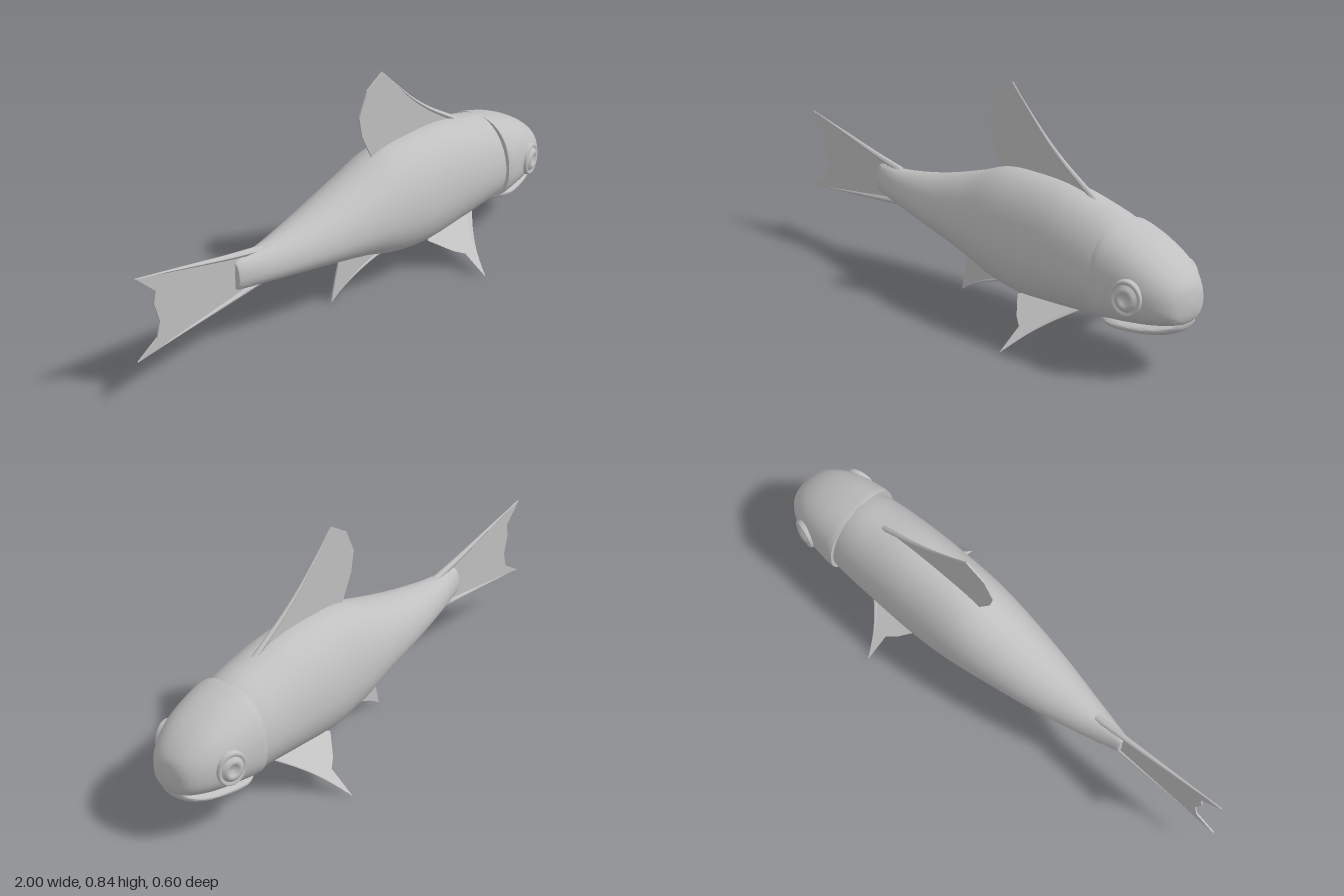
import * as THREE from 'three';
import { toCreasedNormals } from 'three/addons/utils/BufferGeometryUtils.js';

const skin = new THREE.MeshStandardMaterial({ color: 0xc0c0c0, side: THREE.DoubleSide });
skin.name = 'grey skin';

function addMesh(parent, name, geometry) {
  const mesh = new THREE.Mesh(geometry, skin);
  mesh.name = name;
  parent.add(mesh);
  return mesh;
}

// Lofts rounded cross-sections along x. Rows: [x, top, bottom, half width].
// power 2 is an ellipse, more is boxier; mid is the height of the widest line.
function loft(rows, { power = 2, mid = 0.43, steps = 40, sides = 40 } = {}) {
  const heights = new THREE.CatmullRomCurve3(rows.map(r => new THREE.Vector3(r[0], r[1], r[2])), false, 'catmullrom');
  const widths = new THREE.CatmullRomCurve3(rows.map(r => new THREE.Vector3(r[3], 0, 0)), false, 'catmullrom');
  const pos = [], index = [];
  const curve = v => Math.sign(v) * Math.pow(Math.abs(v), 2 / power);
  for (let i = 0; i <= steps; i++) {
    const { x, y: top, z: bottom } = heights.getPoint(i / steps);
    const w = widths.getPoint(i / steps).x;
    const centre = bottom + (top - bottom) * mid;
    for (let j = 0; j < sides; j++) {
      const a = (j / sides) * Math.PI * 2, s = curve(Math.sin(a));
      pos.push(x, centre + s * (s > 0 ? top - centre : centre - bottom), w * curve(Math.cos(a)));
    }
  }
  for (let i = 0; i < steps; i++) for (let j = 0; j < sides; j++) {
    const k = (j + 1) % sides, a = i * sides, b = a + sides;
    index.push(a + j, b + j, a + k, a + k, b + j, b + k);
  }
  // End caps
  [rows[0], rows[rows.length - 1]].forEach((r, end) => {
    const c = pos.length / 3, base = end ? steps * sides : 0;
    pos.push(r[0], r[2] + (r[1] - r[2]) * mid, 0);
    for (let j = 0; j < sides; j++) {
      const k = (j + 1) % sides;
      index.push(c, base + (end ? k : j), base + (end ? j : k));
    }
  });
  const g = new THREE.BufferGeometry();
  g.setAttribute('position', new THREE.Float32BufferAttribute(pos, 3));
  g.setIndex(index);
  g.computeVertexNormals();
  return toCreasedNormals(g, 0.8);
}

// Tube along x, y points that tapers from its root to a fine tip.
function spine(points, radius) {
  const path = new THREE.CatmullRomCurve3(points.map(p => new THREE.Vector3(p[0], p[1], 0)));
  const rings = 20, sides = 8;
  const g = new THREE.TubeGeometry(path, rings, radius, sides);
  const p = g.attributes.position, v = new THREE.Vector3();
  for (let i = 0; i < p.count; i++) {
    const t = Math.floor(i / (sides + 1)) / rings, c = path.getPointAt(t);
    v.fromBufferAttribute(p, i).sub(c).multiplyScalar(1 - 0.9 * t).add(c);
    p.setXYZ(i, v.x, v.y, v.z);
  }
  g.computeVertexNormals();
  return g;
}

// Thin web stretched between a leading edge (root to tip) and its other points.
function web(lead, rest, thick = 0.006) {
  const edge = new THREE.CatmullRomCurve3(lead.map(p => new THREE.Vector3(p[0], p[1], 0))).getPoints(14);
  const outline = [...edge.map(p => new THREE.Vector2(p.x, p.y)), ...rest.map(p => new THREE.Vector2(...p))];
  const g = new THREE.ExtrudeGeometry(new THREE.Shape(outline), { depth: thick, bevelEnabled: false });
  return g.translate(0, 0, -thick / 2);
}

function addFin(parent, name, lead, rest, radius, bend = g => g) {
  const fin = new THREE.Group();
  fin.name = name;
  addMesh(fin, name + 'Web', bend(web(lead, rest)));
  addMesh(fin, name + 'Spine', bend(spine(lead, radius)));
  parent.add(fin);
}

export function createModel() {
  const fish = new THREE.Group();
  fish.name = 'fish';

  addMesh(fish, 'body', loft([
    [-0.565, 0.375, 0.27, 0.026], [-0.54, 0.382, 0.262, 0.034], [-0.4, 0.388, 0.242, 0.07],
    [-0.2, 0.425, 0.212, 0.115], [0, 0.483, 0.17, 0.148], [0.15, 0.534, 0.122, 0.165],
    [0.3, 0.545, 0.1, 0.171], [0.45, 0.54, 0.11, 0.17], [0.6, 0.511, 0.125, 0.165],
    [0.7, 0.484, 0.133, 0.155], [0.78, 0.44, 0.15, 0.13],
  ], { steps: 50 }));

  // Head with the gill cover standing proud of the body
  addMesh(fish, 'head', loft([
    [0.7, 0.482, 0.142, 0.168], [0.725, 0.477, 0.146, 0.17], [0.8, 0.453, 0.16, 0.161],
    [0.87, 0.422, 0.172, 0.146], [0.92, 0.392, 0.182, 0.126], [0.96, 0.358, 0.192, 0.1],
    [0.985, 0.325, 0.203, 0.07], [0.995, 0.29, 0.225, 0.035], [0.998, 0.268, 0.25, 0.01],
  ], { power: 2.35, mid: 0.42 }));

  // Lower jaw under the mouth line
  addMesh(fish, 'lowerJaw', loft([
    [0.69, 0.2, 0.13, 0.1], [0.75, 0.195, 0.131, 0.13], [0.82, 0.19, 0.136, 0.122],
    [0.9, 0.194, 0.146, 0.1], [0.95, 0.203, 0.16, 0.075], [0.975, 0.209, 0.178, 0.045],
    [0.98, 0.207, 0.195, 0.012],
  ], { mid: 0.6, steps: 24 }));

  // Ringed eyes with a dished pupil, tilted forwards
  const eyeProfile = [[0.064, -0.015], [0.062, 0.004], [0.056, 0.009], [0.049, 0.004], [0.045, 0.004],
    [0.037, 0.013], [0.028, 0.016], [0.021, 0.012], [0.013, 0.007], [0, 0.005]];
  for (const [name, side] of [['leftEye', 1], ['rightEye', -1]]) {
    const g = new THREE.LatheGeometry(eyeProfile.map(p => new THREE.Vector2(...p)), 32);
    g.rotateX(side * Math.PI / 2).scale(0.9, 1, 1).rotateY(side * 0.27);
    addMesh(fish, name, g).position.set(0.853, 0.287, side * 0.15);
  }

  addFin(fish, 'dorsalFin',
    [[0.57, 0.51], [0.42, 0.605], [0.33, 0.675], [0.25, 0.75], [0.163, 0.838]],
    [[0.085, 0.79], [0.045, 0.7], [0.06, 0.62], [0.11, 0.52], [0.15, 0.47], [0.5, 0.47]], 0.011);

  addFin(fish, 'analFin',
    [[0.22, 0.115], [0.12, 0.1], [0.02, 0.068], [-0.05, 0.035], [-0.1, 0.003]],
    [[-0.08, 0.09], [-0.055, 0.18], [0, 0.2], [0.18, 0.16]], 0.011);

  // Forked tail: an upper and a lower spine with one web between them
  const upper = [[-0.44, 0.375], [-0.6, 0.408], [-0.8, 0.455], [-0.988, 0.498]];
  const lower = [[-0.45, 0.252], [-0.6, 0.234], [-0.8, 0.211], [-1, 0.186]];
  addFin(fish, 'tailFin', upper,
    [[-0.91, 0.42], [-0.92, 0.375], [-0.9, 0.3], [-0.915, 0.24], ...lower.slice().reverse()], 0.014);
  addMesh(fish, 'tailLowerSpine', spine(lower, 0.014));

  // Pectoral fins slope outwards and down
  for (const [name, side] of [['leftPectoralFin', 1], ['rightPectoralFin', -1]]) {
    const slope = g => {
      const p = g.attributes.position;
      for (let i = 0; i < p.count; i++) p.setZ(i, p.getZ(i) + side * (0.08 + (0.15 - p.getY(i)) / 0.675));
      g.computeVertexNormals();
      return g;
    };
    addFin(fish, name,
      [[0.595, 0.165], [0.515, 0.108], [0.465, 0.062], [0.422, 0.005]],
      [[0.415, 0.07], [0.375, 0.088], [0.31, 0.132], [0.36, 0.155], [0.5, 0.17]], 0.01, slope);
  }
  return fish;
}
